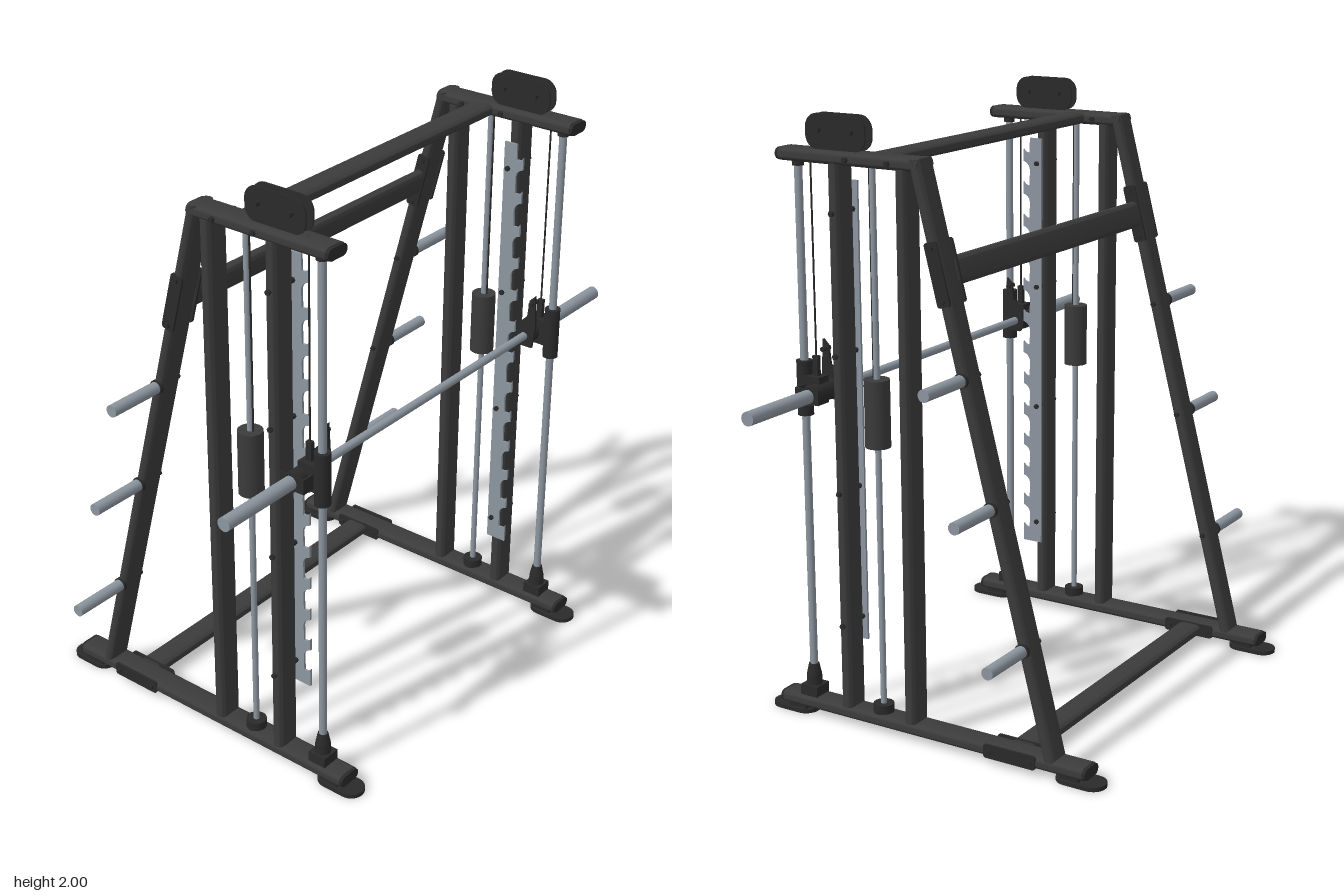
import * as THREE from 'three';
import { toCreasedNormals } from 'three/addons/utils/BufferGeometryUtils.js';

const mat = (name, color) => {
  const m = new THREE.MeshStandardMaterial({ color });
  m.name = name;
  return m;
};

// Flat oval tube, w across x, h across y, running along z
function ovalTube(w, h, len) {
  const r = h / 2, a = w / 2 - r, s = new THREE.Shape();
  s.moveTo(-a, -r);
  s.lineTo(a, -r);
  s.absarc(a, 0, r, -Math.PI / 2, Math.PI / 2, false);
  s.lineTo(-a, r);
  s.absarc(-a, 0, r, Math.PI / 2, Math.PI * 1.5, false);
  const g = new THREE.ExtrudeGeometry(s, { depth: len, bevelEnabled: false, curveSegments: 8 });
  return toCreasedNormals(g.translate(0, 0, -len / 2), 0.6);
}
const upright = (len) => ovalTube(0.09, 0.042, len).rotateX(-Math.PI / 2);
const crossTube = (w, h, len) => ovalTube(w, h, len).rotateY(Math.PI / 2);

// Plate drawn as (z, y) and centred on x = 0
function sidePlate(shape, t) {
  const g = new THREE.ExtrudeGeometry(shape, { depth: t, bevelEnabled: false, curveSegments: 6 });
  return toCreasedNormals(g.rotateY(-Math.PI / 2).translate(t / 2, 0, 0), 0.6);
}
function roundedRect(z0, z1, y0, y1, r) {
  const s = new THREE.Shape();
  s.absarc(z1 - r, y0 + r, r, -Math.PI / 2, 0, false);
  s.absarc(z1 - r, y1 - r, r, 0, Math.PI / 2, false);
  s.absarc(z0 + r, y1 - r, r, Math.PI / 2, Math.PI, false);
  s.absarc(z0 + r, y0 + r, r, Math.PI, Math.PI * 1.5, false);
  return s;
}
const rodY = (r, y0, y1, r2 = r) => new THREE.CylinderGeometry(r2, r, y1 - y0, 20).translate(0, (y0 + y1) / 2, 0);
const rodX = (r, len, n = 20) => new THREE.CylinderGeometry(r, r, len, n).rotateZ(Math.PI / 2);

// Toothed catch strip with upward-facing hooks
function catchStrip() {
  const s = new THREE.Shape(), step = 0.1178;
  s.moveTo(0.298, 0.27);
  s.lineTo(0.372, 0.27);
  s.lineTo(0.372, 0.335);
  for (let i = 0; i < 12; i++) {
    const y = 0.335 + i * step;
    s.quadraticCurveTo(0.366, y - 0.014, 0.347, y - 0.012);
    s.lineTo(0.345, y + 0.045);
    s.quadraticCurveTo(0.348, y + 0.068, 0.372, y + 0.075);
    s.lineTo(0.372, y + step);
  }
  s.quadraticCurveTo(0.366, 1.735, 0.347, 1.737);
  s.lineTo(0.345, 1.79);
  s.lineTo(0.298, 1.79);
  return sidePlate(s, 0.008);
}

// Catch hook carried on the bar
function barHook() {
  const s = new THREE.Shape();
  s.moveTo(0.39, 1.075);
  s.lineTo(0.44, 1.075);
  s.lineTo(0.452, 1.16);
  s.lineTo(0.445, 1.27);
  s.lineTo(0.425, 1.25);
  s.lineTo(0.418, 1.19);
  s.lineTo(0.38, 1.15);
  s.lineTo(0.375, 1.1);
  return sidePlate(s, 0.01);
}

export function createModel() {
  const frame = mat('charcoal frame', 0x3b3b3b);
  const black = mat('black fittings', 0x2a2a2a);
  const steel = mat('brushed steel', 0x8c959f);
  const model = new THREE.Group();
  model.name = 'guidedBarbellRack';
  const add = (parent, name, geo, material, x = 0, y = 0, z = 0) => {
    const m = new THREE.Mesh(geo, material);
    m.name = name;
    m.position.set(x, y, z);
    parent.add(m);
    return m;
  };
  const slope = 0.259, legZ = (y) => -0.47 + slope * y;
  const X = 0.62;

  for (const s of [1, -1]) {
    const g = new THREE.Group();
    g.name = s > 0 ? 'leftSide' : 'rightSide';
    model.add(g);
    const put = (name, geo, m, x, y = 0, z = 0) => add(g, name, geo, m, s * x, y, z);
    const bolt = (y, z, x0 = 0.565, x1 = 0.675) => put('bolt', rodX(0.009, x1 - x0, 6), black, (x0 + x1) / 2, y, z);

    // Base, top and uprights
    put('baseBeam', ovalTube(0.09, 0.042, 1.15), frame, X, 0.044, 0);
    put('topBeam', ovalTube(0.09, 0.042, 0.52), frame, X, 1.869, 0.26);
    for (const z of [0.315, 0.065]) put('upright', upright(1.79), frame, X, 0.958, z);
    for (const z of [0.578, -0.578]) put('baseEndCap', ovalTube(0.086, 0.038, 0.014), black, X, 0.044, z);
    put('topEndCap', ovalTube(0.086, 0.038, 0.014), black, X, 1.869, 0.524);

    // Sloping rear leg, sheared so its ends stay level
    const leg = upright(1.83).translate(0, 0.973, 0), p = leg.attributes.position;
    for (let i = 0; i < p.count; i++) p.setZ(i, p.getZ(i) + legZ(p.getY(i)));
    leg.computeVertexNormals();
    put('rearLeg', toCreasedNormals(leg, 0.6), frame, X);

    // Feet
    for (const z of [0.55, -0.55]) {
      put('foot', ovalTube(0.17, 0.09, 0.014).rotateZ(Math.PI / 2).rotateY(Math.PI / 2).rotateZ(Math.PI / 2)
        .rotateX(0), black, X, 0.007, z).geometry = ovalTube(0.17, 0.09, 0.014).rotateX(-Math.PI / 2).rotateY(Math.PI / 2);
      put('footPad', new THREE.BoxGeometry(0.07, 0.014, 0.07), black, X, 0.019, z * 0.95);
    }

    // Joint plates and bolts
    for (const x of [0.577, 0.663]) {
      put('basePlate', sidePlate(roundedRect(-0.41, -0.22, 0.022, 0.068, 0.01), 0.008), black, x);
      const plate = put('bracePlate', sidePlate(roundedRect(-0.023, 0.023, -0.1, 0.1, 0.01), 0.008), black, x, 1.55, legZ(1.55));
      plate.rotation.x = Math.atan(slope);
    }
    for (const y of [1.63, 1.47]) bolt(y, legZ(y));
    for (const z of [-0.24, -0.39]) bolt(0.044, z);
    for (const z of [0.105, 0.26]) bolt(1.869, z);

    // Weight storage pegs
    for (const y of [1.235, 0.845, 0.41]) {
      put('storagePeg', rodX(0.02, 0.205), steel, 0.763, y, legZ(y));
      put('pegCollar', rodX(0.024, 0.012), black, 0.664, y, legZ(y));
      bolt(y, legZ(y), 0.565, 0.6);
    }

    // Catch strip on standoffs
    put('catchStrip', catchStrip(), steel, 0.553);
    for (const y of [1.7, 1.25, 0.8, 0.35]) bolt(y, 0.315, 0.54);

    // Guide rod with rubber stop
    put('guideRod', rodY(0.013, 0.08, 1.85), steel, X, 0, 0.475);
    put('rodBase', new THREE.BoxGeometry(0.066, 0.036, 0.066), black, X, 0.082, 0.475);
    put('bumper', rodY(0.027, 0.098, 0.135, 0.025), black, X, 0, 0.475);
    put('bumperTop', rodY(0.025, 0.135, 0.172, 0.017), black, X, 0, 0.475);
    put('rodTopCollar', rodY(0.019, 1.832, 1.85), black, X, 0, 0.475);

    // Counterweight on its rod
    put('counterweightRod', rodY(0.01, 0.08, 1.85), steel, X, 0, 0.193);
    put('counterweightBase', rodY(0.034, 0.062, 0.094), black, X, 0, 0.193);
    put('counterweight', rodY(0.041, 0.965, 1.185), frame, X, 0, 0.193);

    // Pulley housing and cables
    for (const x of [0.6, 0.635]) put('pulleyPlate', sidePlate(roundedRect(0.205, 0.43, 1.888, 2, 0.045), 0.005), black, x);
    for (const z of [0.255, 0.378]) bolt(1.95, z, 0.583, 0.652);
    put('frontCable', rodY(0.003, 1.2, 1.89), black, X, 0, 0.427);
    put('rearCable', rodY(0.003, 1.18, 1.89), black, X, 0, 0.205);

    // Bar carriage
    put('carriage', rodY(0.026, 1.03, 1.21), black, X, 0, 0.475);
    put('carriageBlock', new THREE.BoxGeometry(0.05, 0.09, 0.07), black, X, 1.12, 0.435);
    put('cableLug', new THREE.BoxGeometry(0.016, 0.08, 0.02), black, X, 1.19, 0.427);
    put('barHousing', rodX(0.032, 0.13), black, 0.625, 1.113, 0.41);
    put('barHook', barHook(), black, 0.556);
    put('hookHub', rodX(0.026, 0.03), black, 0.565, 1.113, 0.41);
    put('hookPin', rodX(0.008, 0.04, 8), black, 0.56, 1.24, 0.435);
    put('stopArm', new THREE.BoxGeometry(0.006, 0.05, 0.09), black, 0.688, 1.113, 0.415);
    put('stopBar', new THREE.BoxGeometry(0.05, 0.05, 0.006), black, 0.666, 1.113, 0.457);
    put('barSleeve', rodX(0.023, 0.3), steel, 0.84, 1.113, 0.41);
  }

  // Cross members and bar
  add(model, 'topCrossbar', crossTube(0.088, 0.038, 1.17), frame, 0, 1.869, 0.182);
  add(model, 'baseCrossbar', crossTube(0.09, 0.038, 1.17), frame, 0, 0.046, -0.32);
  const brace = add(model, 'rearBrace', crossTube(0.09, 0.04, 1.17), frame, 0, 1.548, legZ(1.548));
  brace.rotation.x = -Math.atan2(1, slope);
  add(model, 'barbell', rodX(0.014, 1.2), steel, 0, 1.113, 0.41);
  return model;
}
